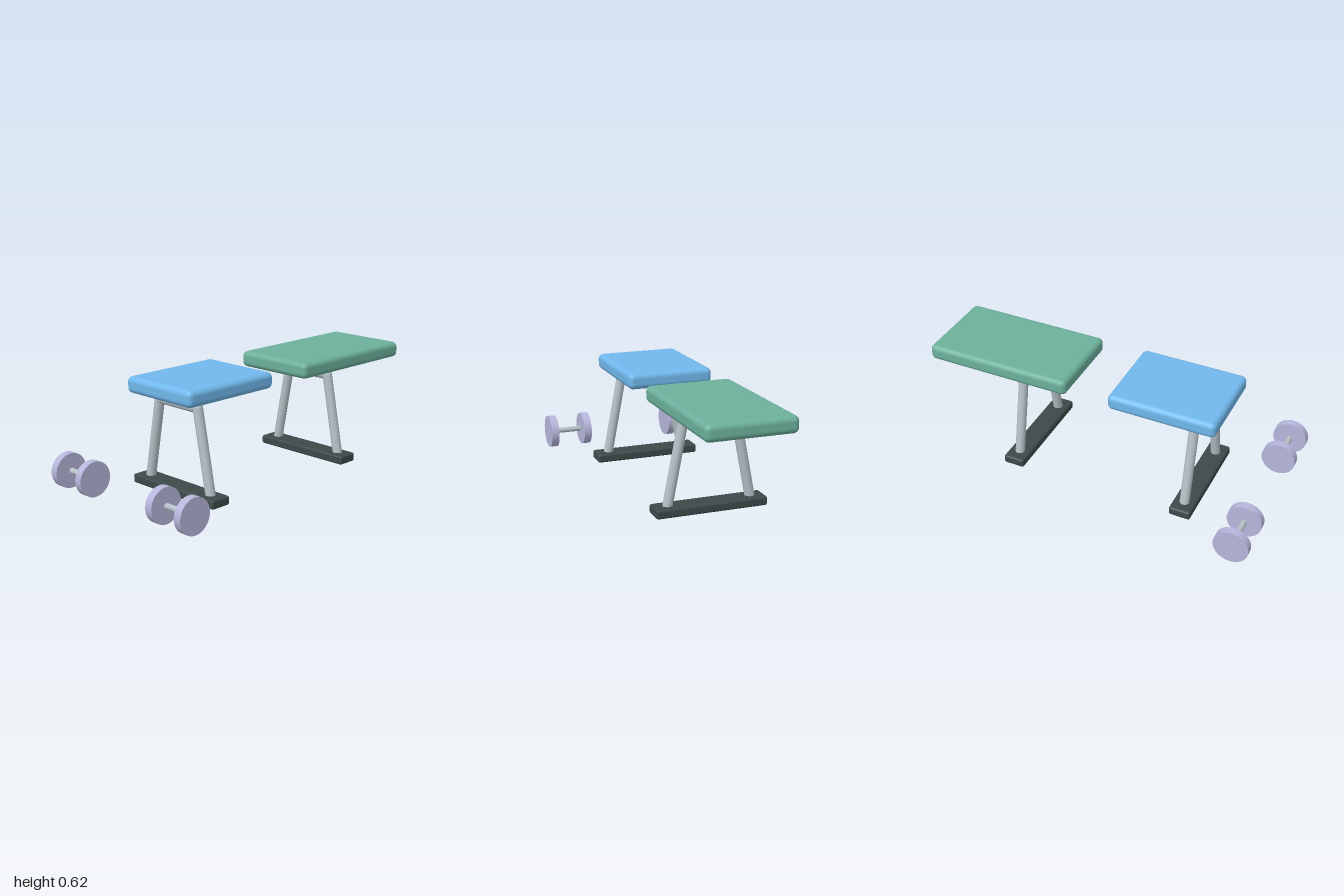
import * as THREE from 'three';
import { RoundedBoxGeometry } from 'three/addons/geometries/RoundedBoxGeometry.js';

const mat = (color) => new THREE.MeshStandardMaterial({ color });

function addMesh(parent, name, geometry, material, x = 0, y = 0, z = 0) {
  const mesh = new THREE.Mesh(geometry, material);
  mesh.name = name;
  mesh.position.set(x, y, z);
  parent.add(mesh);
  return mesh;
}

// Straight round tube between two points
function addTube(parent, name, a, b, radius, material) {
  const dir = b.clone().sub(a);
  const mesh = addMesh(parent, name, new THREE.CylinderGeometry(radius, radius, dir.length(), 32), material);
  mesh.position.copy(a).add(b).multiplyScalar(0.5);
  mesh.quaternion.setFromUnitVectors(new THREE.Vector3(0, 1, 0), dir.normalize());
  return mesh;
}

export function createModel() {
  const model = new THREE.Group();
  model.name = 'workoutBench';
  const steel = mat(0xb4c0c6);
  const rubber = mat(0x3c4949);
  const plate = mat(0xb6b6dc);
  const blue = mat(0x70b8ec);
  const green = mat(0x6cb09c);

  // Padded cushions
  addMesh(model, 'seatCushion', new RoundedBoxGeometry(0.49, 0.09, 0.605, 6, 0.03), blue, 0, 0.577, 0.388);
  addMesh(model, 'backCushion', new RoundedBoxGeometry(0.49, 0.09, 0.84, 6, 0.03), green, 0, 0.577, -0.58);

  // Splayed tube frames, each on a flat foot
  const r = 0.027;
  const frames = [['frontFrame', 0.545], ['rearFrame', -0.465]];
  for (const [name, z] of frames) {
    const frame = new THREE.Group();
    frame.name = name;
    frame.position.z = z;
    model.add(frame);
    addMesh(frame, 'foot', new RoundedBoxGeometry(0.624, 0.05, 0.122, 4, 0.012), rubber, 0, 0.026, 0);
    const corner = (s) => new THREE.Vector3(s * 0.146, 0.495, 0);
    for (const s of [-1, 1]) {
      addTube(frame, 'leg', new THREE.Vector3(s * 0.237, 0.025, 0), corner(s), r, steel);
      addMesh(frame, 'tubeBend', new THREE.SphereGeometry(r, 32, 20), steel, s * 0.146, 0.495, 0);
    }
    addTube(frame, 'crossbar', corner(-1), corner(1), r, steel);
  }

  // Pair of dumbbells lying in front
  for (const s of [-1, 1]) {
    const dumbbell = new THREE.Group();
    dumbbell.name = s > 0 ? 'leftDumbbell' : 'rightDumbbell';
    dumbbell.position.set(s * 0.381, 0.105, 0.904);
    model.add(dumbbell);
    const parts = [['handle', 0, 0.016, 0.156], ['innerPlate', -s * 0.103, 0.096, 0.045], ['outerPlate', s * 0.103, 0.096, 0.045]];
    for (const [name, x, radius, length] of parts) {
      const geometry = new THREE.CylinderGeometry(radius, radius, length, 48);
      addMesh(dumbbell, name, geometry, name === 'handle' ? steel : plate, x).rotation.z = Math.PI / 2;
    }
  }
  return model;
}
